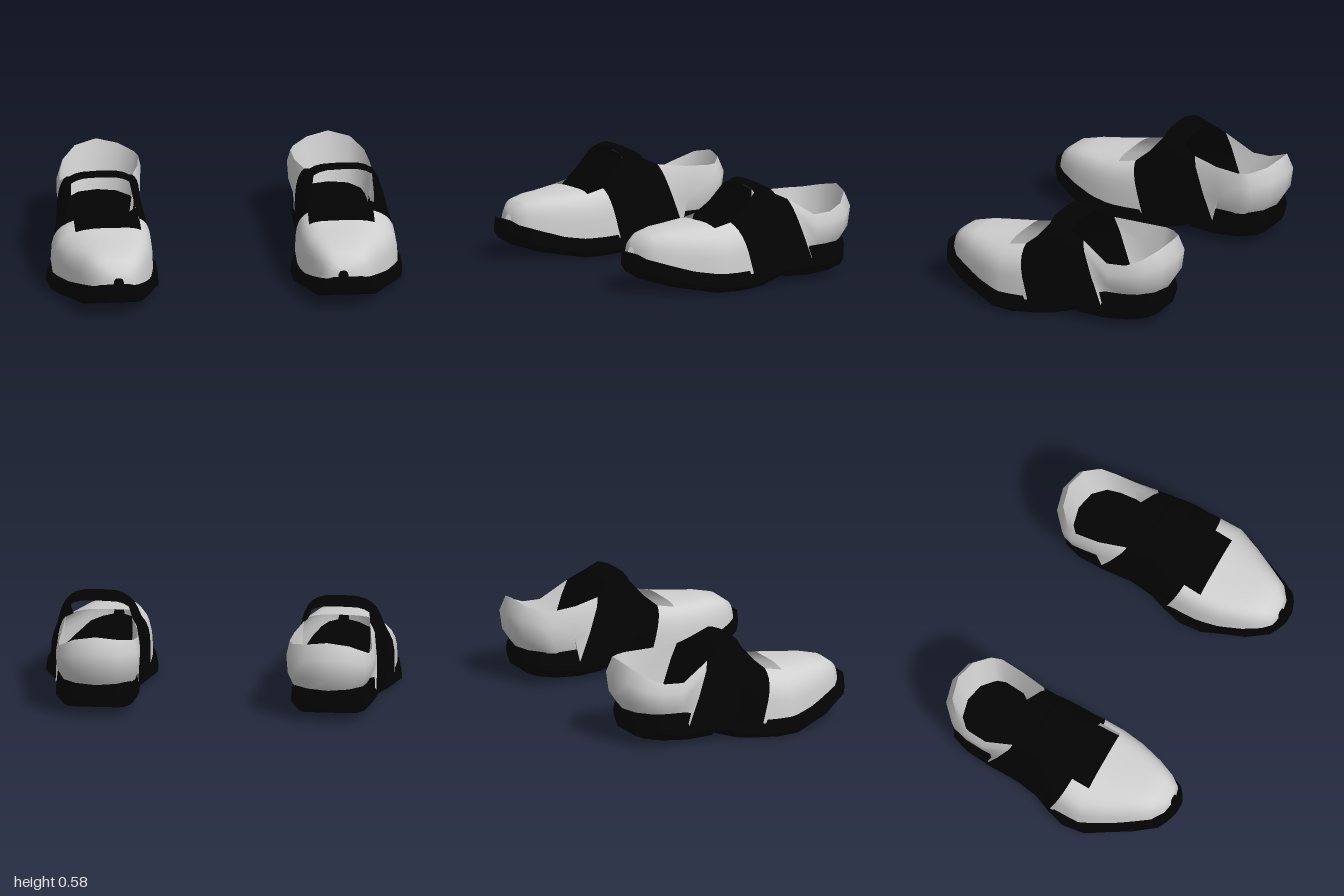
import * as THREE from 'three';
import { toCreasedNormals } from 'three/addons/utils/BufferGeometryUtils.js';

// Skin a grid of points; 'open' drops cells, 'closed' joins each row and caps both ends.
function skin(rows, side, { open = () => false, closed = false, crease = 0.9 } = {}) {
  const n = rows[0].length, pos = [], idx = [];
  rows.flat().forEach(([x, y, z]) => pos.push(x * side, y, z));
  const tri = (a, b, c) => (side > 0 ? idx.push(a, b, c) : idx.push(a, c, b));
  for (let i = 0; i < rows.length - 1; i++) {
    for (let j = 0; j < (closed ? n : n - 1); j++) {
      if (open(i, j)) continue;
      const k = (j + 1) % n, a = i * n + j, b = i * n + k;
      tri(a, b, a + n);
      tri(b, b + n, a + n);
    }
  }
  if (closed) {
    const last = (rows.length - 1) * n;
    for (let j = 1; j < n - 1; j++) {
      tri(0, j + 1, j);
      tri(last, last + j, last + j + 1);
    }
  }
  const g = new THREE.BufferGeometry();
  g.setAttribute('position', new THREE.Float32BufferAttribute(pos, 3));
  g.setIndex(idx);
  return toCreasedNormals(g, crease);
}

// Arched cross-section from the inner bottom edge, over the foot, to the outer bottom edge.
// A smaller exponent makes that side steeper and its shoulder squarer.
const COLS = 18;
function arch([zBottom, zTop, xi, xo, y0, yTop, pInner, pOuter]) {
  const row = [];
  for (let j = 0; j <= COLS; j++) {
    const u = (Math.PI * j) / COLS, c = Math.cos(u);
    const v = Math.sqrt(Math.max(0, Math.sin(u)));
    const reach = Math.pow(Math.abs(c), c > 0 ? pInner : pOuter);
    const x = (xi + xo) / 2 - ((xo - xi) / 2) * Math.sign(c) * reach;
    row.push([x, y0 + (yTop - y0) * v, zBottom + (zTop - zBottom) * v]);
  }
  return row;
}
const isTop = (j) => j >= 6 && j < 12;

// Closed sole cross-section with softened lower edges.
function slab([z, xi, xo, yb, yt]) {
  const r = Math.min(0.04, (xo - xi) * 0.2), h = yt - yb;
  return [
    [xi + r, yb, z], [xi, yb + h * 0.3, z], [xi + 0.012, yt, z],
    [xo - 0.012, yt, z], [xo, yb + h * 0.3, z], [xo - r, yb, z],
  ];
}

// Stations: zBottom, zTop, inner x, outer x, base y, top y, inner and outer squareness
const throat = [0.07, 0.15, 0.405, 0.965, 0.09, 0.39, 0.4, 0.85];
const TOE = [
  [0.68, 0.67, 0.6, 0.66, 0.18, 0.25, 0.7, 0.7],
  [0.665, 0.655, 0.55, 0.72, 0.16, 0.285, 0.6, 0.65],
  [0.62, 0.6, 0.51, 0.785, 0.13, 0.325, 0.55, 0.65],
  [0.52, 0.5, 0.465, 0.84, 0.11, 0.345, 0.5, 0.7],
  [0.38, 0.38, 0.425, 0.91, 0.09, 0.352, 0.42, 0.8],
  [0.25, 0.25, 0.405, 0.968, 0.08, 0.366, 0.38, 0.88],
  throat,
];
const STRAP = [
  throat,
  [0.04, 0.07, 0.42, 0.945, 0.09, 0.46, 0.5, 0.65],
  [0.0, -0.01, 0.435, 0.925, 0.08, 0.558, 0.58, 0.58],
  [-0.07, -0.06, 0.44, 0.915, 0.08, 0.577, 0.56, 0.56],
  [-0.2, -0.145, 0.44, 0.91, 0.09, 0.535, 0.48, 0.48],
  [-0.36, -0.215, 0.435, 0.9, 0.12, 0.495, 0.33, 0.33],
];
// z, inner x, outer x, bottom y, top y
const SOLE = [
  [0.717, 0.6, 0.69, 0.155, 0.222],
  [0.695, 0.56, 0.745, 0.125, 0.224],
  [0.665, 0.52, 0.79, 0.1, 0.2],
  [0.54, 0.455, 0.86, 0.04, 0.16],
  [0.42, 0.42, 0.92, 0.02, 0.124],
  [0.3, 0.378, 0.985, 0.0, 0.106],
  [0.17, 0.37, 1.0, 0.0, 0.105],
  [0.06, 0.4, 0.965, 0.0, 0.11],
  [-0.04, 0.435, 0.92, 0.0, 0.13],
  [-0.22, 0.445, 0.9, 0.055, 0.17],
];
const HEEL_BLOCK = [
  [-0.2, 0.44, 0.905, 0.035, 0.185],
  [-0.35, 0.43, 0.9, 0.028, 0.19],
  [-0.5, 0.43, 0.885, 0.04, 0.195],
  [-0.6, 0.46, 0.85, 0.055, 0.2],
  [-0.632, 0.51, 0.8, 0.063, 0.2],
  [-0.655, 0.54, 0.77, 0.14, 0.197],
];
// Heel plan from the outer side round the back to the inner side: x, z, rim height
const HEEL_PLAN = [
  [0.895, -0.4, 0.37], [0.885, -0.52, 0.375], [0.86, -0.61, 0.41],
  [0.78, -0.69, 0.46], [0.65, -0.72, 0.485], [0.52, -0.69, 0.465], [0.43, -0.61, 0.445],
  [0.41, -0.55, 0.445], [0.425, -0.4, 0.45],
];
// Heel levels: height fraction, plan scale, matching column of the strap, inset.
// They climb the outside to the rim, then run down the lining to the insole.
const HEEL_LEVELS = [
  [0, 0.86, 0, 0], [0.3, 0.97, 1, 0], [0.7, 1, 4, 0], [1, 0.93, 6, 0],
  [0.6, 0.88, 3, 0.03], [0.04, 0.81, 0, 0.06],
];

function heelRows() {
  const joint = arch(STRAP[STRAP.length - 1]);
  return HEEL_LEVELS.map(([f, s, col, inset]) => {
    const [xi, yi, zi] = joint[col], [xo, yo, zo] = joint[COLS - col];
    return [
      [xo - inset, yo, zo],
      ...HEEL_PLAN.map(([x, z, rim]) => [
        0.65 + (x - 0.65) * s, 0.185 + (rim - 0.185) * f, -0.2 + (z + 0.2) * s,
      ]),
      [xi + inset, yi, zi],
    ];
  });
}

export function createModel() {
  const grey = new THREE.MeshStandardMaterial({ color: 0xd0d0d0, side: THREE.DoubleSide });
  grey.name = 'light grey leather';
  const black = new THREE.MeshStandardMaterial({ color: 0x030303, side: THREE.DoubleSide });
  black.name = 'black rubber';

  const model = new THREE.Group();
  model.name = 'shoes';
  for (const side of [1, -1]) {
    const shoe = new THREE.Group();
    shoe.name = side > 0 ? 'leftShoe' : 'rightShoe';
    const add = (name, geometry, material) => {
      const mesh = new THREE.Mesh(geometry, material);
      mesh.name = name;
      shoe.add(mesh);
    };
    // Toe cap, cut back at the throat
    add('toeCap', skin(TOE.map(arch), side, { open: (i, j) => i === TOE.length - 2 && isTop(j) }), grey);
    // Side panels joined by a narrow band over the instep
    add('instepStrap', skin(STRAP.map(arch), side, { open: (i, j) => (i < 2 || i > 3) && isTop(j) }), black);
    // Heel counter and its lining, wrapped round the back
    add('heelCounter', skin(heelRows(), side, { crease: 1.2 }), grey);
    // Sole and heel block, whose tops form the insole
    add('sole', skin(SOLE.map(slab), side, { closed: true, crease: 0.7 }), black);
    add('heelBlock', skin(HEEL_BLOCK.map(slab), side, { closed: true, crease: 0.7 }), black);
    model.add(shoe);
  }
  return model;
}
